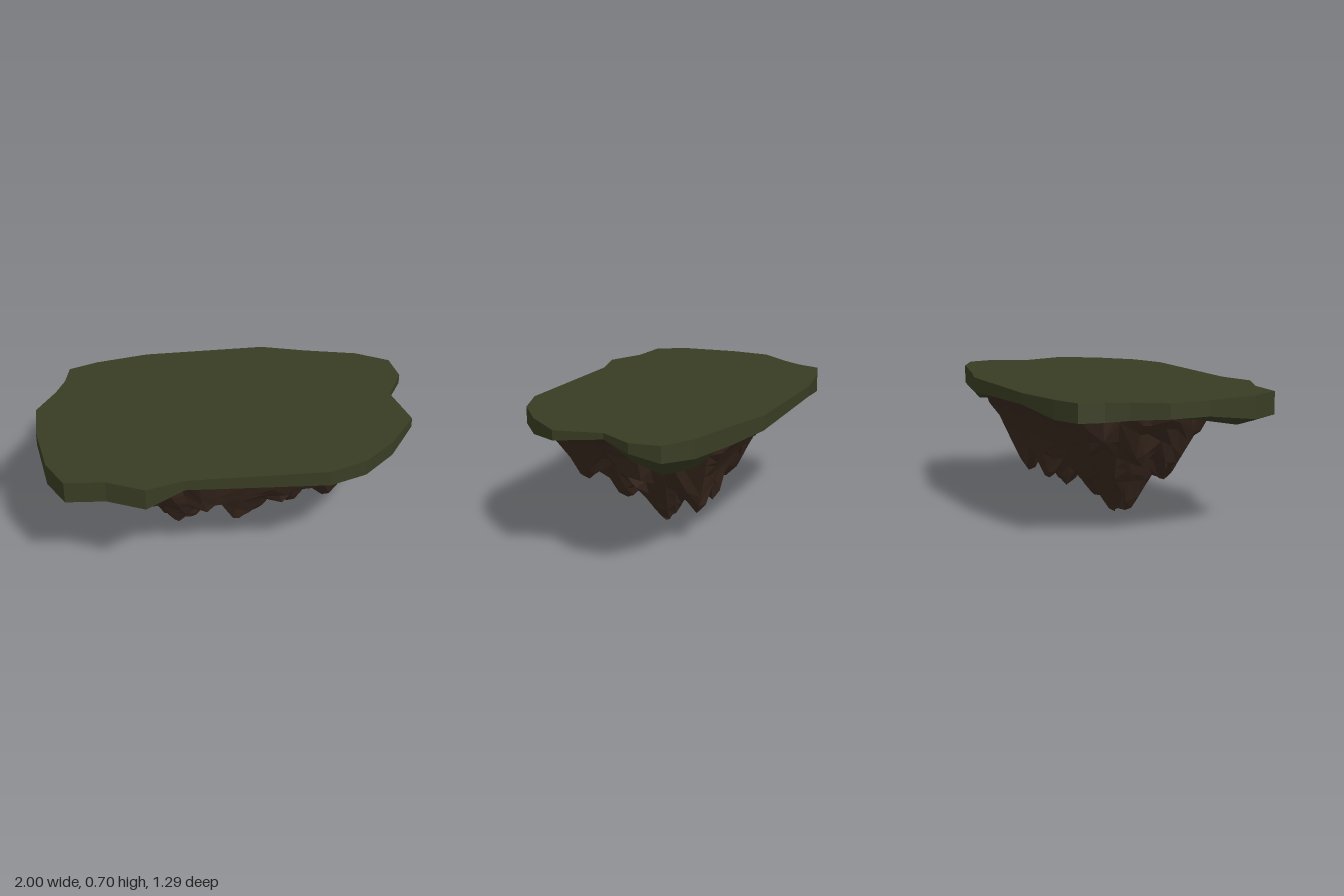
import * as THREE from 'three';

const TOP = 0.697;

// Slab rim, one row per corner: x, z, rim bottom y, underside y, inner underside y
const RIM = [
  [-0.32, -0.645, 0.64, 0.64, 0.65], [0.33, -0.59, 0.62, 0.63, 0.64], [0.56, -0.50, 0.60, 0.58, 0.60],
  [0.83, -0.41, 0.60, 0.52, 0.53], [0.99, -0.30, 0.61, 0.52, 0.53], [1.0, -0.14, 0.645, 0.57, 0.57],
  [0.89, 0.03, 0.665, 0.65, 0.64], [0.93, 0.28, 0.645, 0.64, 0.65], [0.77, 0.46, 0.615, 0.63, 0.65],
  [0.59, 0.59, 0.61, 0.63, 0.65], [0.39, 0.645, 0.615, 0.63, 0.65], [-0.33, 0.565, 0.64, 0.64, 0.65],
  [-0.53, 0.60, 0.58, 0.58, 0.61], [-0.71, 0.495, 0.58, 0.56, 0.59], [-0.91, 0.46, 0.58, 0.54, 0.57],
  [-0.98, 0.29, 0.58, 0.54, 0.58], [-1.0, 0.0, 0.62, 0.59, 0.61], [-0.98, -0.21, 0.62, 0.61, 0.63],
  [-0.86, -0.36, 0.61, 0.61, 0.63], [-0.80, -0.46, 0.60, 0.61, 0.63], [-0.76, -0.58, 0.60, 0.61, 0.63],
  [-0.60, -0.62, 0.60, 0.62, 0.64],
];

// Lower limits of the rock across x and across z, as [position, y]
const ACROSS_X = [
  [-0.84, 0.62], [-0.77, 0.57], [-0.7, 0.5], [-0.64, 0.34], [-0.57, 0.28], [-0.54, 0.31], [-0.47, 0.22],
  [-0.43, 0.21], [-0.38, 0.07], [-0.3, 0.02], [-0.18, 0], [-0.12, 0.03], [-0.02, 0.21], [0.03, 0.17],
  [0.15, 0.14], [0.2, 0.12], [0.26, 0.05], [0.3, 0.06], [0.33, 0.14], [0.38, 0.15], [0.42, 0.26],
  [0.5, 0.29], [0.53, 0.35], [0.6, 0.52], [0.66, 0.58], [0.78, 0.63],
];
const ACROSS_Z = [
  [-0.6, 0.64], [-0.48, 0.59], [-0.41, 0.5], [-0.34, 0.38], [-0.31, 0.3], [-0.28, 0.14], [-0.23, 0.14],
  [-0.17, 0.18], [-0.12, 0.1], [-0.08, 0.03], [-0.03, 0], [0.02, 0.03], [0.05, 0.12], [0.11, 0.18],
  [0.17, 0.12], [0.21, 0.15], [0.285, 0.18], [0.335, 0.31], [0.385, 0.39], [0.44, 0.42], [0.52, 0.58],
  [0.6, 0.64],
];

// Tips of the hanging spires: x, y, z
const SPIRES = [
  [-0.2, 0, -0.03], [-0.31, 0.03, -0.04], [-0.1, 0.08, -0.1], [0.28, 0.06, -0.05], [-0.3, 0.17, 0.2],
  [0.1, 0.14, 0.17], [0.3, 0.17, 0.16], [0.01, 0.18, 0.27], [0.36, 0.15, -0.25], [0.12, 0.15, -0.25],
  [-0.2, 0.18, -0.22], [-0.42, 0.22, -0.16], [-0.46, 0.22, 0.1], [-0.57, 0.28, 0.04], [-0.6, 0.33, -0.15],
  [0.5, 0.3, 0.03], [0.45, 0.3, 0.31], [0.48, 0.3, -0.24], [0.06, 0.18, 0], [0.22, 0.32, 0.36],
  [-0.18, 0.32, 0.36], [-0.05, 0.36, -0.33], [-0.42, 0.36, -0.32],
];

function sample(profile, t) {
  for (let i = 1; i < profile.length; i++) {
    const [a, ya] = profile[i - 1], [b, yb] = profile[i];
    if (t <= b) return ya + (yb - ya) * Math.max(0, (t - a) / (b - a));
  }
  return profile[profile.length - 1][1];
}

// Joins equal-length rings of [x, y, z] into a faceted skin
function skin(rings) {
  const n = rings[0].length, index = [];
  for (let r = 0; r < rings.length - 1; r++) {
    for (let i = 0; i < n; i++) {
      const a = r * n + i, b = r * n + ((i + 1) % n);
      index.push(a, b, a + n, b, b + n, a + n);
    }
  }
  const g = new THREE.BufferGeometry();
  g.setAttribute('position', new THREE.Float32BufferAttribute(rings.flat(2), 3));
  g.setIndex(index);
  const flat = g.toNonIndexed();
  flat.computeVertexNormals();
  return flat;
}

function buildSlab() {
  const ring = (s, y) => RIM.map((p) => [p[0] * s, y(p), p[1] * s]);
  return skin([
    ring(0, () => TOP),
    ring(1, () => TOP),
    ring(1, (p) => p[2]),
    ring(0.89, (p) => p[3]),
    ring(0.65, (p) => p[4]),
    ring(0, () => 0.65),
  ]);
}

function buildRock() {
  let seed = 7;
  const rand = () => (seed = (seed * 16807) % 2147483647) / 2147483647 - 0.5;
  const SIDES = 44, RINGS = 16, rings = [];
  // Each spoke keeps its own angle and crease depth, so facets run downhill
  const spokes = Array.from({ length: SIDES }, (_, i) => {
    const angle = ((i + rand() * 0.7) / SIDES) * Math.PI * 2;
    const c = Math.cos(angle), s = Math.sin(angle);
    const square = (Math.abs(c) ** 2.5 + Math.abs(s) ** 2.5) ** (-1 / 2.5);
    const skew = 1 - 0.18 * Math.max(0, Math.cos(angle - 2.36)) ** 4
      + 0.08 * Math.max(0, Math.cos(angle - 0.65)) ** 4;
    return { x: c * square * skew * 0.8, z: s * square * skew * 0.58, crease: 1 + rand() * 0.16 };
  });
  for (let r = 0; r <= RINGS; r++) {
    rings.push(spokes.map((spoke) => {
      const u = r === RINGS ? 0 : 1 - (r + (r ? rand() * 0.6 : 0)) / RINGS;
      const x = -0.04 + spoke.x * u, z = 0.01 + spoke.z * u;
      if (r === 0) return [x, 0.66, z];
      const cones = SPIRES.map(([sx, sy, sz]) => sy + 1.7 * Math.max(0, Math.hypot(x - sx, z - sz) - 0.03));
      const hanging = Math.min(...cones, 0.46);
      const wall = 0.65 - (1 - u * spoke.crease) * 1.4;
      const y = Math.max(sample(ACROSS_X, x), sample(ACROSS_Z, z), wall, hanging);
      return [x, Math.min(y, 0.655), z];
    }));
  }
  // Pull the nearest vertex onto each spire tip
  const points = rings.flat();
  for (const tip of SPIRES) {
    const away = (p) => Math.hypot(p[0] - tip[0], p[2] - tip[2]);
    const nearest = points.reduce((p, q) => (away(q) < away(p) ? q : p));
    nearest.splice(0, 3, ...tip);
  }
  return skin(rings);
}

export function createModel() {
  const grass = new THREE.MeshStandardMaterial({ color: 0x393d23 });
  grass.name = 'moss green';
  const earth = new THREE.MeshStandardMaterial({ color: 0x3b2a20 });
  earth.name = 'earth brown';

  const group = new THREE.Group();
  group.name = 'floatingIsland';
  const add = (name, geometry, material) => {
    const mesh = new THREE.Mesh(geometry, material);
    mesh.name = name;
    group.add(mesh);
  };
  add('grassSlab', buildSlab(), grass);
  add('rockUnderside', buildRock(), earth);
  return group;
}
